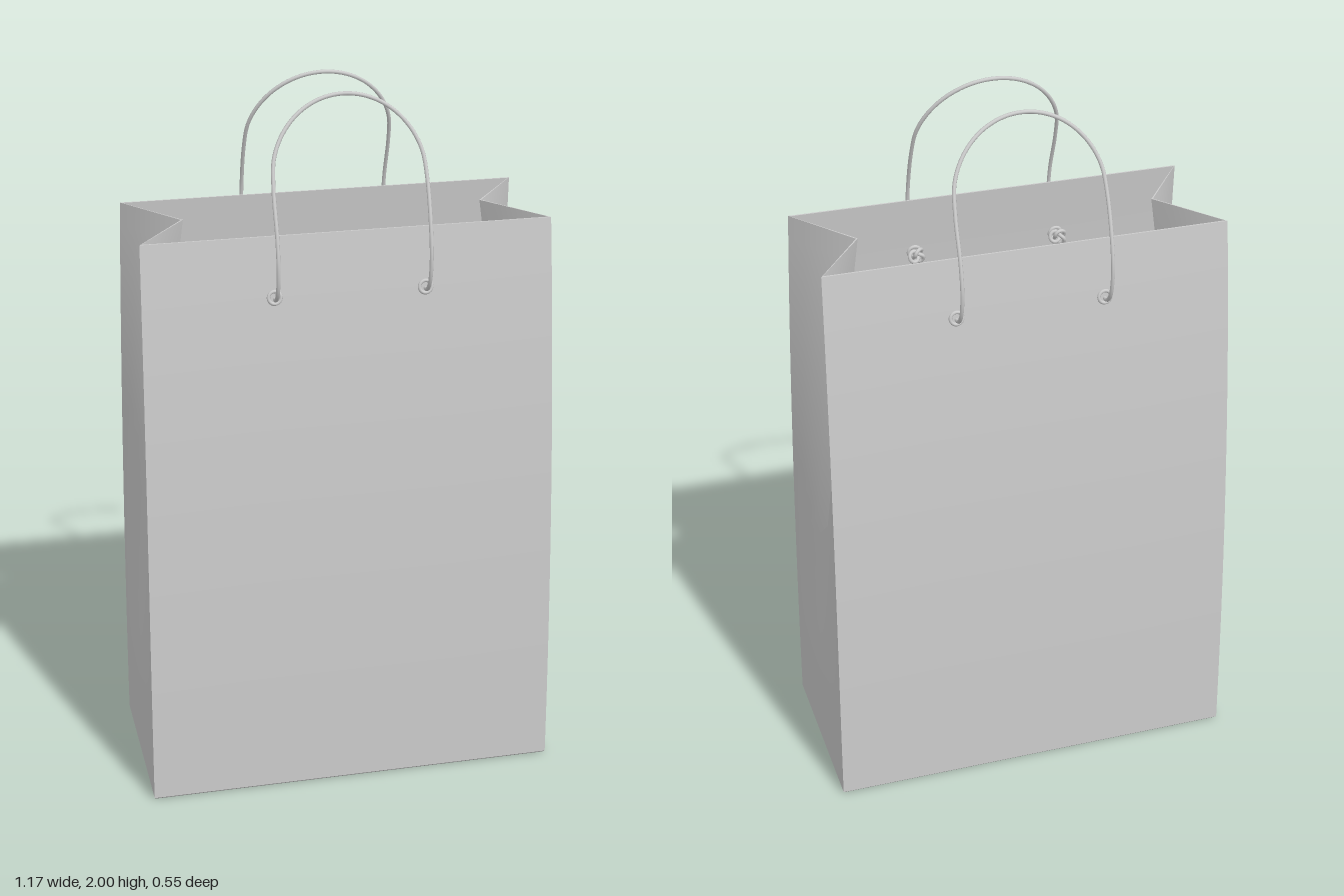
import * as THREE from 'three';
import { toCreasedNormals } from 'three/addons/utils/BufferGeometryUtils.js';

const HEIGHT = 1.64, PAPER = 0.005;
const material = new THREE.MeshStandardMaterial({ color: 0xcccccc, side: THREE.DoubleSide });

// Half width, half depth and side-fold depth of the bag at height y
const halfWidth = (y) => 0.584 - 0.024 * (y / HEIGHT) ** 1.3;
const halfDepth = (y) => 0.267 - 0.073 * (y / HEIGHT) ** 2.6;
const foldDepth = (y) => 0.14 * Math.max(0, (y - 0.3) / (HEIGHT - 0.3)) ** 1.15;

// One closed outline: front, left gusset, back, right gusset
function outline(y, inset) {
  const w = halfWidth(y) - inset, d = halfDepth(y) - inset, fold = foldDepth(y);
  const pts = [];
  const sideSteps = 8, panelSteps = 4;
  for (const s of [1, -1]) {
    for (let i = 0; i < panelSteps; i++) {
      pts.push(new THREE.Vector3(s * w * (2 * i / panelSteps - 1), y, s * d));
    }
    for (let i = 0; i < sideSteps; i++) {
      const k = 1 - 2 * i / sideSteps;
      pts.push(new THREE.Vector3(s * (w - fold * (1 - Math.abs(k))), y, s * k * d));
    }
  }
  return pts;
}

// Skin the outlines up the outside, over the rim and down the inside
function bagGeometry() {
  const rows = [];
  const steps = 24;
  const centre = (y) => outline(y, 0).map(() => new THREE.Vector3(0, y, 0));
  rows.push(centre(0), outline(0, 0.006));
  for (let i = 0; i <= steps; i++) rows.push(outline(0.006 + (HEIGHT - 0.006) * i / steps, 0));
  for (let i = steps; i >= 0; i--) rows.push(outline(0.01 + (HEIGHT - 0.01) * i / steps, PAPER));
  rows.push(centre(0.01));

  const positions = [];
  const triangle = (a, b, c) => {
    if (a.equals(b) || b.equals(c) || a.equals(c)) return;
    for (const p of [a, b, c]) positions.push(p.x, p.y, p.z);
  };
  for (let j = 0; j < rows.length - 1; j++) {
    const n = rows[j].length;
    for (let i = 0; i < n; i++) {
      const k = (i + 1) % n;
      const a = rows[j][i], b = rows[j][k], c = rows[j + 1][k], d = rows[j + 1][i];
      triangle(a, b, c);
      triangle(a, c, d);
    }
  }
  const geometry = new THREE.BufferGeometry();
  geometry.setAttribute('position', new THREE.Float32BufferAttribute(positions, 3));
  return toCreasedNormals(geometry, 0.3);
}

function add(parent, name, geometry, x = 0, y = 0, z = 0) {
  const mesh = new THREE.Mesh(geometry, material);
  mesh.name = name;
  mesh.position.set(x, y, z);
  parent.add(mesh);
  return mesh;
}

// Cord handle of one panel with its eyelets and inside knots
function createHandle(name) {
  const group = new THREE.Group();
  group.name = name;
  const holeX = 0.207, holeY = 1.475, wallZ = halfDepth(holeY);

  // Half of the cord from the hole to the arch, as [x, y, z]
  const half = [
    [holeX, 1.475, wallZ - 0.03], [holeX, 1.472, wallZ + 0.015], [holeX, 1.5, 0.255],
    [holeX, 1.565, 0.269], [holeX, 1.65, 0.257], [holeX, 1.77, 0.213],
  ];
  for (let i = 1; i <= 6; i++) {
    const a = (i / 6) * Math.PI / 2;
    const y = 1.79 + 0.204 * Math.sin(a);
    half.push([holeX * Math.cos(a), y, 0.205 - 0.083 * (y - 1.79) / 0.204]);
  }
  const right = half.slice(0, -1).reverse().map(([x, y, z]) => [-x, y, z]);
  const curve = new THREE.CatmullRomCurve3([...half, ...right].map((p) => new THREE.Vector3(...p)));
  add(group, 'cord', new THREE.TubeGeometry(curve, 140, 0.0055, 8));

  for (const s of [1, -1]) {
    const eyelet = add(group, 'eyelet', new THREE.TorusGeometry(0.017, 0.005, 8, 24), s * holeX, holeY, wallZ + 0.001);
    eyelet.rotation.x = -0.16;
    const inner = add(group, 'innerEyelet', eyelet.geometry, s * holeX, holeY, wallZ - PAPER - 0.001);
    inner.rotation.x = -0.16;
    const knot = add(group, 'knot', new THREE.TorusKnotGeometry(0.015, 0.0055, 64, 8, 2, 3), s * holeX, holeY, wallZ - 0.034);
    knot.rotation.set(-0.16, s * 0.25, 0);
  }
  return group;
}

export function createModel() {
  const bag = new THREE.Group();
  bag.name = 'paperBag';
  add(bag, 'bagBody', bagGeometry());
  const front = createHandle('frontHandle');
  const back = createHandle('backHandle');
  back.rotation.y = Math.PI;
  bag.add(front, back);
  return bag;
}
